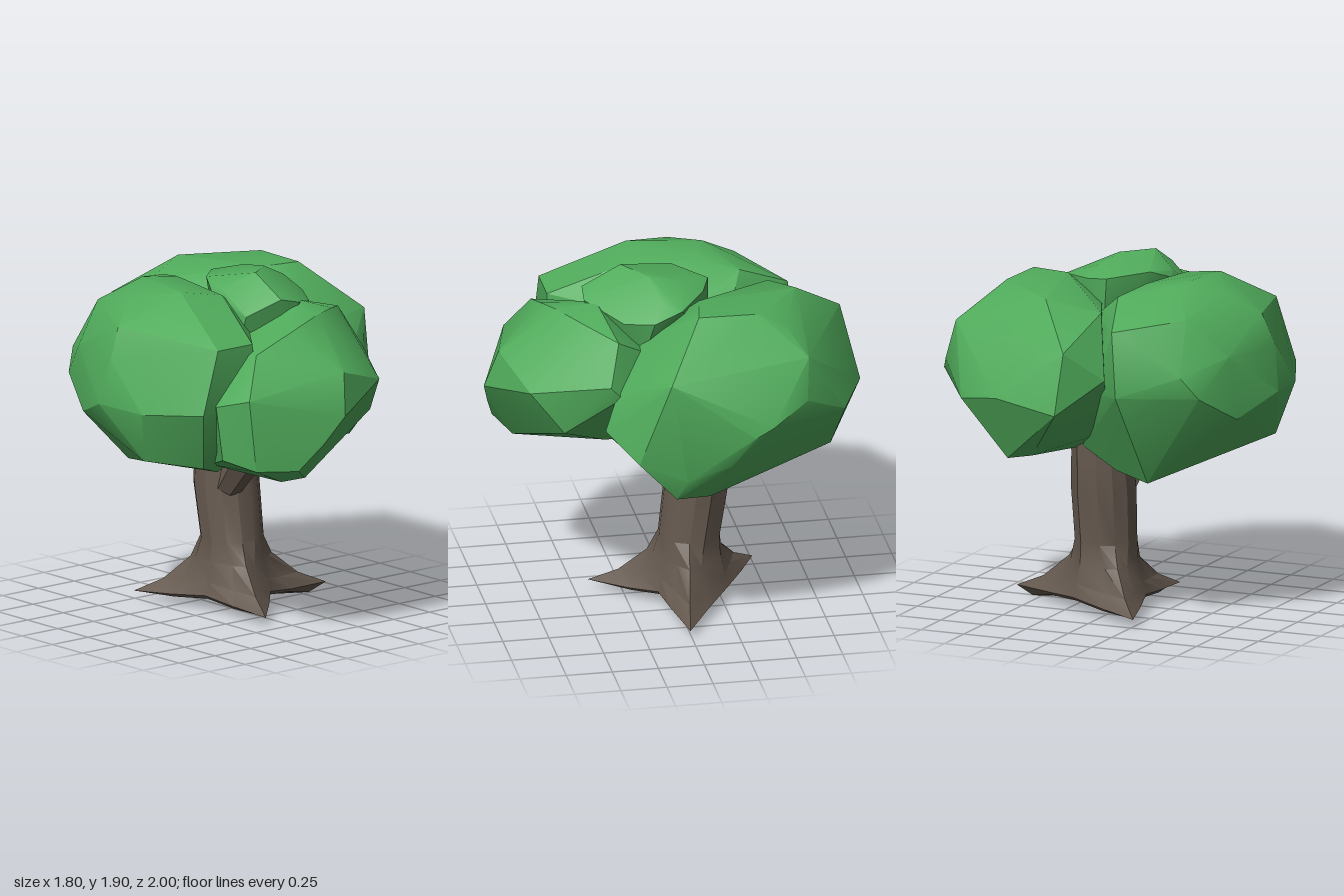
import * as THREE from 'three';
import { toCreasedNormals } from 'three/addons/utils/BufferGeometryUtils.js';
import { ConvexGeometry } from 'three/addons/geometries/ConvexGeometry.js';

const leafMat = new THREE.MeshStandardMaterial({ color: 0x50ab5b });
const barkMat = new THREE.MeshStandardMaterial({ color: 0x65594f });

// Faceted leaf mass: convex hull around its main corners, soft across shallow edges
function leafClump(name, corners) {
  const hull = new ConvexGeometry(corners.map((c) => new THREE.Vector3(...c)));
  const mesh = new THREE.Mesh(toCreasedNormals(hull, 0.5), leafMat);
  mesh.name = name;
  return mesh;
}

// Closed skin over rings of points, listed from bottom to top
function skin(name, rings) {
  const n = rings[0].length;
  const pos = [];
  const tri = (a, b, c) => pos.push(...a, ...b, ...c);
  const middle = (ring) => [0, 1, 2].map((k) => ring.reduce((s, p) => s + p[k], 0) / n);
  const low = middle(rings[0]);
  const high = middle(rings[rings.length - 1]);
  for (let i = 0; i < n; i++) {
    const j = (i + 1) % n;
    for (let r = 0; r < rings.length - 1; r++) {
      const a = rings[r], b = rings[r + 1];
      tri(a[i], b[i], b[j]);
      tri(a[i], b[j], a[j]);
    }
    tri(low, rings[0][i], rings[0][j]);
    tri(high, rings[rings.length - 1][j], rings[rings.length - 1][i]);
  }
  const geo = new THREE.BufferGeometry();
  geo.setAttribute('position', new THREE.Float32BufferAttribute(pos, 3));
  const mesh = new THREE.Mesh(toCreasedNormals(geo, 0.45), barkMat);
  mesh.name = name;
  return mesh;
}

// Trunk flaring into three roots
function trunk() {
  // root direction, direction of the hollow after it, reach, height of its underside
  const roots = [[10, 60, 0.58, 0], [111, 170, 0.55, 0.035], [230, 299, 0.53, 0.035]];
  const at = (deg, r, y, cx, cz) => {
    const a = THREE.MathUtils.degToRad(deg);
    return [cx + r * Math.cos(a), y, cz + r * Math.sin(a)];
  };
  // reach factor and height of root; radius and height of its flanks; of the hollows
  const flare = [
    [0.82, 0.0, 0.31, 0.045, 0.2, 0.06],
    [1.0, 0.045, 0.33, 0.06, 0.22, 0.08],
    [0.7, 0.12, 0.26, 0.13, 0.2, 0.15],
    [0.42, 0.25, 0.2, 0.25, 0.175, 0.26],
  ];
  // y, centre x, centre z, radius
  const stem = [
    [0.37, 0.08, -0.09, 0.17],
    [0.66, 0.075, -0.13, 0.178],
    [0.85, 0.08, -0.14, 0.168],
    [1.1, 0.08, -0.14, 0.17],
  ];
  const rings = flare.map(([f, y, flankR, flankY, hollowR, hollowY]) =>
    roots.flatMap(([dir, hollow, reach, under]) => [
      at(dir - 18, flankR, flankY, 0.08, -0.09),
      at(dir, reach * f, Math.max(y, under), 0.08, -0.09),
      at(dir + 18, flankR, flankY, 0.08, -0.09),
      at(hollow, hollowR, hollowY, 0.08, -0.09),
    ]));
  stem.forEach(([y, cx, cz, r]) => rings.push(
    roots.flatMap(([dir, hollow]) => [dir - 28, dir, dir + 28, hollow].map((a) => at(a, r, y, cx, cz)))));
  return skin('trunk', rings);
}

// Short branch leaning forward into the leaves
function branch() {
  const path = [[0.0, 0.66, -0.03, 0.07], [-0.01, 0.8, 0.09, 0.085], [-0.03, 0.95, 0.25, 0.08], [-0.04, 1.07, 0.35, 0.07]];
  const rings = path.map(([x, y, z, r]) =>
    Array.from({ length: 6 }, (_, i) => {
      const a = (i / 6) * Math.PI * 2;
      return [x + r * Math.cos(a), y - 0.5 * r * Math.sin(a), z + r * Math.sin(a)];
    }));
  return skin('branch', rings);
}

export function createModel() {
  const tree = new THREE.Group();
  tree.name = 'tree';
  tree.add(trunk(), branch());

  tree.add(leafClump('frontLeaves', [
    [-0.63, 1.32, 0.62], [-0.61, 1.03, 0.65], [-0.55, 1.37, 0.8], [-0.51, 0.98, 0.81],
    [-0.31, 0.89, 0.78], [-0.18, 0.9, 0.82], [-0.3, 0.97, 0.91], [-0.16, 1.11, 0.96],
    [-0.05, 1.25, 1.0], [0.0, 1.47, 0.93], [-0.4, 1.58, 0.68], [-0.15, 1.67, 0.68],
    [0.07, 1.72, 0.63], [0.34, 1.36, 0.82], [0.42, 1.15, 0.65], [0.55, 1.45, 0.42],
    [0.54, 1.38, 0.36], [0.44, 1.66, 0.36], [0.28, 1.7, 0.5], [0.1, 1.76, 0.42],
    [0.18, 0.99, 0.4], [0.02, 0.91, 0.26], [-0.4, 0.91, 0.3], [-0.3, 1.5, 0.2], [0.3, 1.5, 0.12], [0.1, 1.2, 0.05],
  ]));

  tree.add(leafClump('rightLeaves', [
    [-0.9, 1.26, -0.03], [-0.86, 1.5, 0.02], [-0.86, 1.25, 0.28], [-0.79, 1.67, 0.0],
    [-0.71, 1.28, 0.61], [-0.32, 1.3, 0.61], [-0.6, 1.62, 0.6], [-0.36, 1.62, 0.6],
    [-0.78, 0.97, 0.2], [-0.78, 1.15, -0.3], [-0.76, 1.5, -0.36], [-0.67, 1.3, -0.55],
    [-0.59, 1.42, -0.61], [-0.26, 1.3, -0.72], [-0.33, 0.79, -0.46], [-0.1, 0.82, -0.36],
    [-0.35, 0.86, 0.3], [-0.6, 0.95, 0.48], [-0.48, 1.84, 0.15], [-0.41, 1.84, -0.25],
    [-0.62, 1.78, -0.1], [-0.21, 1.82, -0.2], [-0.13, 1.78, -0.4], [-0.22, 1.65, -0.68],
    [-0.55, 1.7, -0.45], [-0.25, 1.8, 0.22], [0.03, 1.65, -0.33], [0.1, 1.6, 0.0],
    [0.08, 0.92, 0.1], [0.12, 0.92, -0.3], [-0.08, 1.3, -0.62],
  ]));

  tree.add(leafClump('backLeftLeaves', [
    [-0.03, 1.24, -1.0], [0.33, 1.3, -0.97], [-0.05, 1.57, -0.93], [0.18, 1.79, -0.65],
    [0.59, 1.25, -0.84], [0.33, 0.94, -0.81], [0.2, 0.96, -0.78], [0.72, 1.62, -0.62],
    [0.79, 1.4, -0.6], [0.55, 1.75, -0.52], [0.89, 1.3, -0.4], [0.9, 1.25, -0.3],
    [0.81, 1.55, 0.14], [0.53, 1.81, -0.38], [0.52, 1.81, -0.06], [0.3, 1.81, -0.1],
    [0.84, 1.07, -0.18], [0.8, 0.98, 0.05], [0.74, 0.86, 0.1], [0.64, 0.82, -0.1],
    [0.73, 1.07, 0.3], [0.54, 1.2, 0.45], [0.52, 1.4, 0.38], [0.55, 1.56, 0.24],
    [0.2, 0.88, 0.08], [0.17, 0.88, -0.1], [-0.21, 1.4, -0.75], [-0.1, 1.72, -0.55],
    [0.08, 1.68, -0.15], [0.25, 1.6, 0.2], [0.0, 1.0, -0.25],
  ]));

  tree.add(leafClump('topLeaves', [
    [-0.05, 1.9, 0.26], [0.11, 1.89, 0.14], [0.13, 1.86, -0.05], [0.03, 1.82, -0.2],
    [0.16, 1.8, -0.15], [-0.15, 1.84, -0.03], [-0.22, 1.79, 0.1], [-0.2, 1.82, 0.15],
    [0.36, 1.78, 0.0], [0.37, 1.72, 0.15], [0.28, 1.81, 0.1], [0.29, 1.7, 0.3],
    [-0.05, 1.79, 0.47], [0.07, 1.76, 0.48], [-0.21, 1.7, 0.37],
    [-0.2, 1.5, 0.3], [0.3, 1.5, 0.2], [0.0, 1.5, 0.42], [0.05, 1.5, -0.2],
  ]));

  return tree;
}
